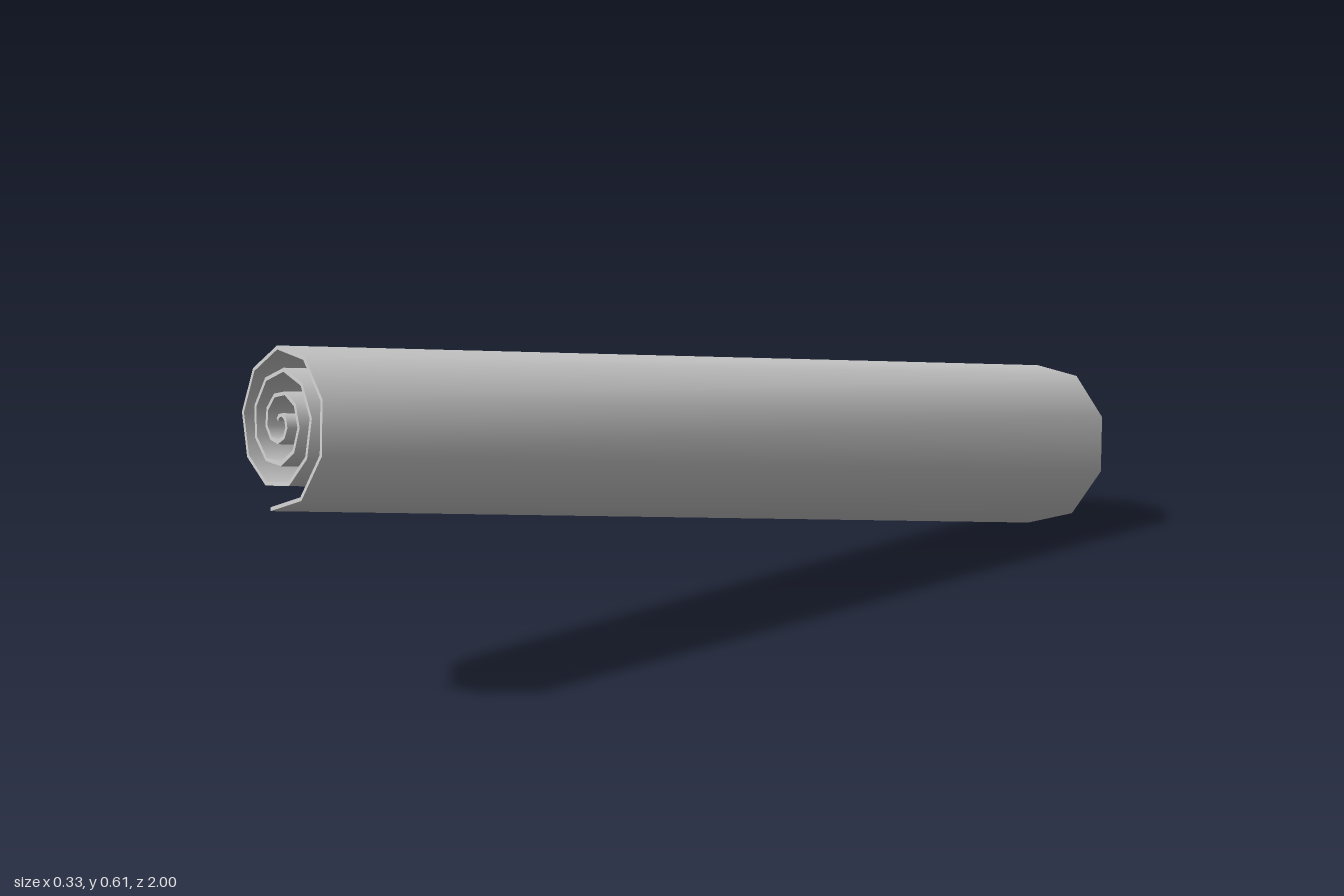
import * as THREE from 'three';
import { mergeGeometries } from 'three/addons/utils/BufferGeometryUtils.js';

const STEPS = 34;                                // facets along the spiral
const STEP = THREE.MathUtils.degToRad(38.7);     // turn per facet
const START = THREE.MathUtils.degToRad(-92);     // loose outer edge, at the bottom
const R0 = 0.144, PITCH = 0.0365, THICK = 0.0065;
const TILT = 0.142;                              // lean of the end planes

// the roll widens from the front end to the back end
const FRONT = { x: -0.011, y: 0.494, z: 0.98, scale: 1 };
const BACK = { x: -0.009, y: 0.194, z: -0.975, scale: 1.33 };

// point on the spiral: facet k, inset from the outer skin, at one end
function spiralPoint(k, inset, end) {
  const a = START + k * STEP;
  const r = (R0 - PITCH * k * STEP / (2 * Math.PI) - inset) * end.scale;
  const x = r * Math.cos(a), y = r * Math.sin(a);
  return [end.x + x, end.y + y, end.z - y * TILT];
}

// smooth strip between two rows of points
function strip(rowA, rowB) {
  const index = [];
  for (let i = 0; i < rowA.length - 1; i++) {
    const b = rowA.length + i;
    index.push(i, i + 1, b, i + 1, b + 1, b);
  }
  const g = new THREE.BufferGeometry();
  g.setAttribute('position', new THREE.Float32BufferAttribute([...rowA, ...rowB].flat(), 3));
  g.setIndex(index);
  g.computeVertexNormals();
  return g;
}

export function createModel() {
  const group = new THREE.Group();
  group.name = 'rolledSheet';
  const row = (inset, end) =>
    Array.from({ length: STEPS + 1 }, (_, k) => spiralPoint(k, inset, end));
  const outF = row(0, FRONT), outB = row(0, BACK);
  const inF = row(THICK, FRONT), inB = row(THICK, BACK);
  const material = new THREE.MeshStandardMaterial({ color: 0xcccccc });

  const add = (name, ...parts) => {
    const mesh = new THREE.Mesh(mergeGeometries(parts), material);
    mesh.name = name;
    group.add(mesh);
  };

  // two faces of the sheet
  add('outerFace', strip(outB, outF));
  add('innerFace', strip(inF, inB));
  // spiral rims at both ends
  add('endRims', strip(outF, inF), strip(inB, outB));
  // long edges: loose outer edge and innermost edge
  add('longEdges',
    strip([outF[0], inF[0]], [outB[0], inB[0]]),
    strip([inF[STEPS], outF[STEPS]], [inB[STEPS], outB[STEPS]]));
  return group;
}
